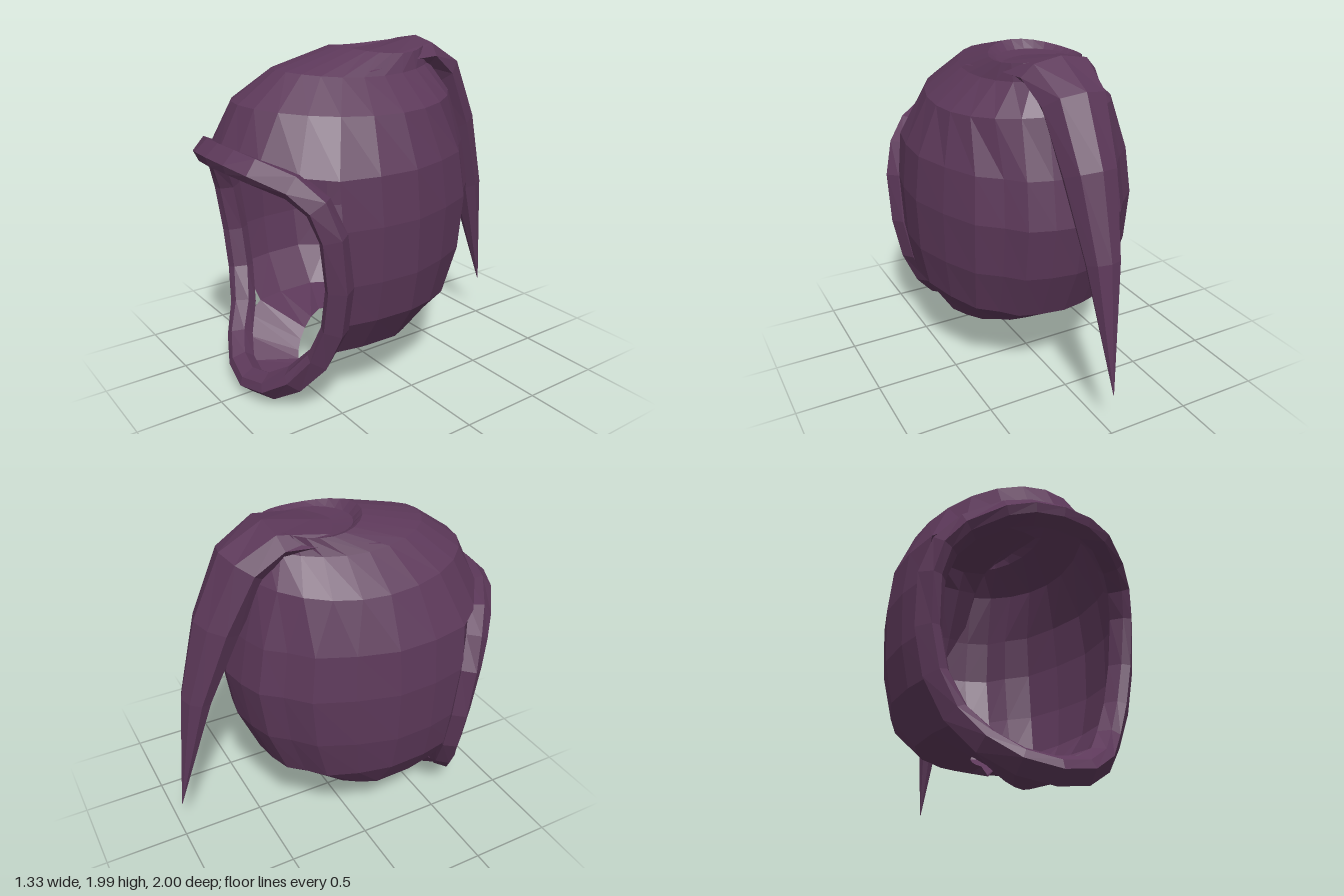
import * as THREE from 'three';

const V = (x, y, z) => new THREE.Vector3(x, y, z);
const mirror = (p) => V(-p.x, p.y, p.z);

// half loop (first and last point on x = 0) -> full loop
const fullLoop = (half) => [...half, ...half.slice(1, -1).reverse().map(mirror)];

// skin a list of equally long rows; outside is rowDirection x columnDirection
function loft(rows, { closeCols = true, closeRows = false } = {}) {
  const pos = [];
  const n = rows[0].length;
  const tri = (...pts) => pts.forEach((p) => pos.push(p.x, p.y, p.z));
  for (let i = 0; i < rows.length - (closeRows ? 0 : 1); i++) {
    const r = rows[i], s = rows[(i + 1) % rows.length];
    for (let j = 0; j < n - (closeCols ? 0 : 1); j++) {
      const k = (j + 1) % n;
      tri(r[j], s[j], s[k]);
      tri(r[j], s[k], r[k]);
    }
  }
  const g = new THREE.BufferGeometry();
  g.setAttribute('position', new THREE.Float32BufferAttribute(pos, 3));
  g.computeVertexNormals();
  return g;
}

// plan of the back with a soft crease beside the centre, in unit size
const backPlan = [[0, 1], [0.23, 0.965], [0.44, 0.9], [0.575, 0.76], [0.76, 0.61], [0.9, 0.32], [1, 0]];

// back and sides of the hood at one height: 9 points from back centre to face edge
function backArc(y, w, zb, dip = 0, edge = 0.55) {
  const zc = 0.1;
  const pts = backPlan.map(([s, c]) => V(w * s, y - dip * c, zc + (zb - zc) * c));
  pts.push(V(w * 0.985, y, 0.33), V(w * 0.91, y, edge));
  return pts;
}

// closed half ring over the head: 13 points from back centre to front centre
function crownArc(y, w, zb, zf, zc, sag = 0) {
  return Array.from({ length: 13 }, (_, k) => {
    const a = (k * Math.PI) / 12;
    const c = Math.cos(a), s = k === 12 ? 0 : Math.sin(a);
    return V(w * s, y - sag * s * s, zc + (c > 0 ? (zb - zc) * c : (zc - zf) * c));
  });
}

export function createModel() {
  const group = new THREE.Group();
  const cloth = new THREE.MeshStandardMaterial({ color: 0x5c3859, flatShading: true, side: THREE.DoubleSide });
  cloth.name = 'plum cloth';
  const add = (name, geometry) => {
    const m = new THREE.Mesh(geometry, cloth);
    m.name = name;
    group.add(m);
  };

  // wall around the back and sides, open at the face
  const hem = backArc(0.345, 0.46, -0.2, 0.01, 0.5);
  const high = backArc(1.385, 0.63, -0.6);
  const wall = [
    hem,
    backArc(0.57, 0.605, -0.47, 0.06),
    backArc(0.81, 0.65, -0.6),
    backArc(1.12, 0.66, -0.65),
    high,
  ].map((h) => [...h.slice(1).reverse().map(mirror), ...h]);
  add('hoodWall', loft(wall, { closeCols: false }));

  // crown from the brow up to the shallow hollow on top
  const brow = [...high, V(0.45, 1.4, 0.71), V(0.28, 1.45, 0.84), V(0.15, 1.47, 0.89), V(0, 1.48, 0.92)];
  const crown = [
    brow,
    crownArc(1.705, 0.51, -0.51, 0.8, 0.1, 0.04),
    crownArc(1.865, 0.315, -0.42, 0.57, 0.08, 0.035),
    crownArc(1.965, 0.25, -0.38, 0.18, -0.1, 0.035),
    crownArc(1.915, 0.21, -0.33, 0.13, -0.1),
    crownArc(1.9, 0, -0.1, -0.1, -0.1),
  ];
  add('hoodCrown', loft(crown.map(fullLoop)));

  // floor and chin, closing in on the neck hole
  const chin = [...hem, V(0.42, 0.27, 0.58), V(0.34, 0.18, 0.65), V(0.18, 0.09, 0.71), V(0, 0.065, 0.74)];
  const neck = crownArc(0.3, 0.17, 0.05, 0.46, 0.22);
  neck.forEach((p, k) => {
    if (p.z > 0.22) p.y = 0.3 - 0.23 * Math.pow((p.z - 0.22) / 0.24, 1.4);
    if (k === 0) p.y = 0.25;
  });
  add('hoodFloor', loft([neck, chin].map(fullLoop)));

  // thick rim around the face opening
  const rimPath = fullLoop([
    V(0, 0.066, 0.8), V(0.18, 0.098, 0.77), V(0.33, 0.195, 0.7), V(0.45, 0.35, 0.61),
    V(0.545, 0.56, 0.57), V(0.595, 0.81, 0.57), V(0.6, 1.1, 0.605), V(0.55, 1.27, 0.66),
    V(0.45, 1.37, 0.745), V(0.28, 1.43, 0.865), V(0.15, 1.45, 0.91), V(0, 1.455, 0.925),
  ]);
  const section = [[0.02, -0.075], [0.065, 0], [0, 0.075], [-0.05, 0.06], [-0.09, -0.01], [-0.05, -0.07]];
  const rimRows = rimPath.map((p, i) => {
    const n = rimPath.length;
    const t = rimPath[(i + 1) % n].clone().sub(rimPath[(i + n - 1) % n]).normalize();
    const out = V(p.x, p.y - 0.78, 0);
    out.addScaledVector(t, -out.dot(t)).normalize();
    const fwd = out.clone().cross(t);
    return section.map(([o, f]) => p.clone().addScaledVector(out, o).addScaledVector(fwd, f));
  });
  add('faceRim', loft(rimRows, { closeRows: true }));

  // drooping tail, folded out of the crown: y, z, half width, half thickness
  const spine = [
    [1.855, 0.16, 0.3, 0.025], [1.885, -0.1, 0.262, 0.045], [1.89, -0.36, 0.225, 0.1],
    [1.77, -0.52, 0.19, 0.145], [1.44, -0.685, 0.155, 0.135], [1.0, -0.84, 0.1, 0.09],
    [0.26, -1, 0.002, 0.002],
  ];
  const tailRows = spine.map(([y, z, w, t], i) => {
    const a = spine[Math.max(i - 1, 0)], b = spine[Math.min(i + 1, spine.length - 1)];
    const dir = i === spine.length - 1 ? V(0, -1, 0) : V(0, b[0] - a[0], b[1] - a[1]).normalize();
    const nrm = V(1, 0, 0).cross(dir);
    return Array.from({ length: 8 }, (_, k) => {
      const ang = (k * Math.PI) / 4;
      return V(w * Math.cos(ang), y, z).addScaledVector(nrm, t * Math.sin(ang));
    });
  });
  add('hoodTail', loft(tailRows));

  return group;
}
